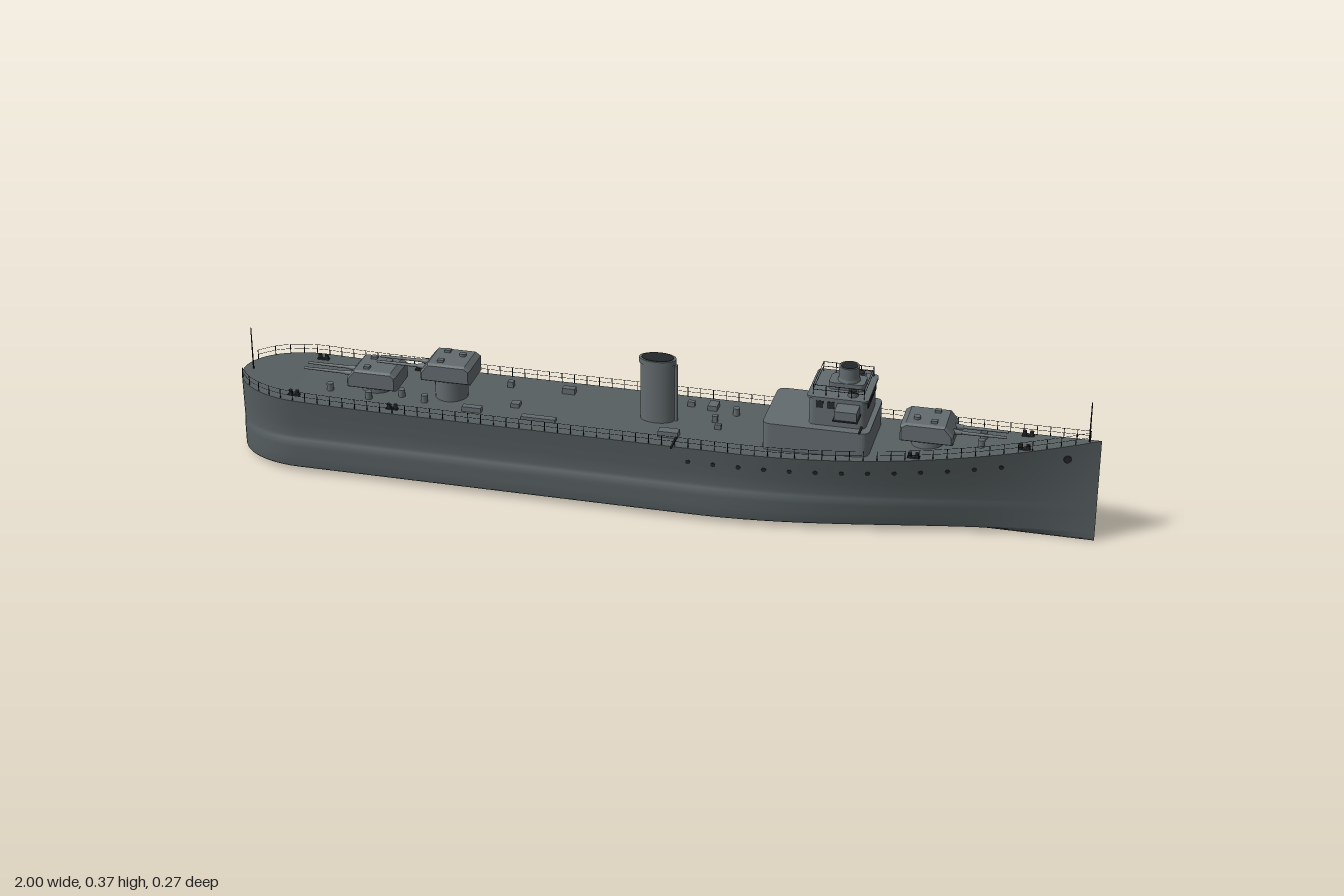
import * as THREE from 'three';

const mat = (name, color, side = THREE.FrontSide) => {
  const m = new THREE.MeshStandardMaterial({ color, side });
  m.name = name;
  return m;
};

export function createModel() {
  const M = {
    hull: mat('hull grey', 0x565e60),
    deck: mat('deck grey', 0x575f61),
    house: mat('superstructure grey', 0x636b6e),
    dark: mat('dark fittings', 0x25282a),
    rail: mat('rail black', 0x17191a),
  };
  const root = new THREE.Group();
  const ship = new THREE.Group();
  ship.name = 'ship';
  ship.position.z = -0.006;
  root.add(ship);

  const add = (name, geo, m, x = 0, y = 0, z = 0, parent = ship) => {
    const mesh = new THREE.Mesh(geo, m);
    mesh.name = name;
    mesh.position.set(x, y, z);
    parent.add(mesh);
    return mesh;
  };
  const box = (name, w, h, d, m, x, y, z, p) => add(name, new THREE.BoxGeometry(w, h, d), m, x, y, z, p);
  const cyl = (name, r, h, m, x, y, z, p, r2 = r, n = 24) =>
    add(name, new THREE.CylinderGeometry(r2, r, h, n), m, x, y, z, p);

  // Hull lines: sheer height and half-width at any station
  const BEAM = 0.128;
  const deckY = (x) => 0.181 + 0.011 * Math.max(0, (-x - 0.6) / 0.4) ** 2 + 0.068 * Math.max(0, (x - 0.2) / 0.8) ** 2;
  const halfWidth = (x, y) => {
    if (x < -0.83) return BEAM * Math.sqrt(Math.max(0, 1 - ((-0.83 - x) / 0.17) ** 2));
    const u = Math.max(0, (x - 0.2) / 0.8), v = Math.max(0, (x - 0.1) / 0.9);
    return BEAM * THREE.MathUtils.lerp(0.5 + 0.5 * Math.cos(Math.PI * v), 1 - u * u, Math.min(1, y / deckY(x)));
  };
  // Section: width fraction, height; heights above the bulge stretch with the sheer
  const section = [[1, 0.181], [0.972, 0.15], [0.948, 0.12], [0.935, 0.092], [0.965, 0.084], [0.993, 0.075],
    [1, 0.066], [1, 0.04], [1, 0.018], [0.97, 0.013], [0.5, 0.006], [0, 0]];
  const sectionPoint = (x, [f, y]) => {
    const yy = y > 0.09 ? 0.09 + (y - 0.09) * (deckY(x) - 0.09) / 0.091 : y;
    return [x, yy, f * halfWidth(x, yy)];
  };
  const sideZ = (x, y) => {
    const k = section.findIndex((s, i) => i > 0 && sectionPoint(x, s)[1] <= y);
    const a = sectionPoint(x, section[k - 1]), b = sectionPoint(x, section[k]);
    return THREE.MathUtils.lerp(b[2], a[2], (y - b[1]) / (a[1] - b[1]));
  };
  const stations = [];
  for (let i = 0; i < 14; i++) stations.push(-1 + 0.17 * (1 - Math.cos((i / 14) * Math.PI / 2)));
  for (let i = 0; i <= 40; i++) stations.push(-0.83 + 1.83 * i / 40);

  const grid = (rows) => {
    const n = rows[0].length, idx = [];
    for (let i = 0; i < rows.length - 1; i++)
      for (let j = 0; j < n - 1; j++) {
        const a = i * n + j, b = a + 1, c = a + n, d = c + 1;
        idx.push(a, b, c, b, d, c);
      }
    const g = new THREE.BufferGeometry();
    g.setAttribute('position', new THREE.Float32BufferAttribute(rows.flat(2), 3));
    g.setIndex(idx);
    g.computeVertexNormals();
    return g;
  };
  add('hull', grid(stations.map((x) => {
    const half = section.map((s) => sectionPoint(x, s));
    return [...half, ...half.slice(0, -1).reverse().map(([a, b, c]) => [a, b, -c])];
  })), M.hull);
  add('deck', grid(stations.map((x) => {
    const w = halfWidth(x, deckY(x));
    return [[x, deckY(x), -w], [x, deckY(x), w]];
  })), M.deck);

  // Upright block with rounded corners in plan
  const block = (name, x0, x1, hz, r, y0, y1, m) => {
    const s = new THREE.Shape();
    s.moveTo(x0 + r, -hz).lineTo(x1 - r, -hz).quadraticCurveTo(x1, -hz, x1, -hz + r)
      .lineTo(x1, hz - r).quadraticCurveTo(x1, hz, x1 - r, hz)
      .lineTo(x0 + r, hz).quadraticCurveTo(x0, hz, x0, hz - r)
      .lineTo(x0, -hz + r).quadraticCurveTo(x0, -hz, x0 + r, -hz);
    const g = new THREE.ExtrudeGeometry(s, { depth: y1 - y0, bevelEnabled: false, curveSegments: 6 });
    g.rotateX(-Math.PI / 2);
    return add(name, g, m, 0, y0, 0);
  };

  // Bridge structure
  block('deckhouse', 0.26, 0.5, 0.092, 0.02, 0.17, 0.247, M.house);
  block('bridge', 0.36, 0.488, 0.07, 0.015, 0.247, 0.313, M.house);
  block('bridgeRoof', 0.355, 0.493, 0.072, 0.015, 0.311, 0.316, M.house);
  block('directorBase', 0.395, 0.475, 0.026, 0.012, 0.316, 0.332, M.house);
  cyl('directorTower', 0.026, 0.012, M.house, 0.437, 0.336, 0, ship, 0.022);
  cyl('director', 0.023, 0.03, M.house, 0.437, 0.351, 0);
  cyl('directorTop', 0.019, 0.002, M.dark, 0.437, 0.366, 0);
  for (let i = -2; i <= 2; i++) box('bridgeWindow', 0.003, 0.017, 0.0165, M.dark, 0.489, 0.298, i * 0.0205);
  for (const s of [1, -1]) {
    box('bridgeWing', 0.05, 0.022, 0.044, M.house, 0.45, 0.294, s * 0.09);
    box('wingFloor', 0.056, 0.003, 0.046, M.dark, 0.45, 0.283, s * 0.092);
    for (const x of [0.385, 0.41]) box('sideWindow', 0.016, 0.017, 0.003, M.dark, x, 0.298, s * 0.0695);
    cyl('searchlight', 0.012, 0.011, M.house, 0.455, 0.322, s * 0.047);
    cyl('searchlightLid', 0.009, 0.003, M.dark, 0.455, 0.328, s * 0.047);
  }
  box('signalBoom', 0.004, 0.004, 0.03, M.dark, 0.48, 0.252, 0.085);

  // Oval funnel with a dark cap band
  const funnel = cyl('funnel', 0.04, 0.15, M.house, 0, 0.252, 0);
  const band = cyl('funnelCap', 0.043, 0.012, M.house, 0, 0.328, 0);
  const mouth = cyl('funnelMouth', 0.037, 0.002, M.dark, 0, 0.3345, 0);
  for (const p of [funnel, band, mouth]) p.scale.z = 0.62;
  cyl('funnelPipe', 0.004, 0.14, M.house, 0.043, 0.25, 0, ship, 0.004, 8);

  // Twin gun turrets, built facing +x
  const turret = (x, y, dir, pedestal) => {
    const g = new THREE.Group();
    g.name = 'gunTurret';
    g.position.set(x, y, 0);
    if (dir < 0) g.rotation.y = Math.PI;
    ship.add(g);
    const s = new THREE.Shape();
    s.moveTo(-0.055, 0).lineTo(0.056, 0).lineTo(0.056, 0.018).lineTo(0.04, 0.037).lineTo(-0.045, 0.037).lineTo(-0.055, 0.03);
    const geo = new THREE.ExtrudeGeometry(s, { depth: 0.084, bevelSize: 0.004, bevelThickness: 0.006, bevelSegments: 1 });
    add('turretHouse', geo, M.house, 0, 0.004, -0.042, g);
    cyl('turretPedestal', 0.038, pedestal, M.house, 0, -pedestal / 2 + 0.002, 0, g);
    for (const k of [1, -1]) {
      const b = cyl('gunBarrel', 0.0042, 0.125, M.house, 0.112, 0.021, k * 0.014, g, 0.003, 10);
      b.rotation.z = -Math.PI / 2;
      const c = cyl('gunCollar', 0.0075, 0.02, M.house, 0.065, 0.021, k * 0.014, g, 0.005, 10);
      c.rotation.z = -Math.PI / 2;
      box('roofSight', 0.014, 0.008, 0.012, M.house, 0.015, 0.047, k * 0.027, g);
    }
    cyl('roofHatch', 0.008, 0.008, M.house, -0.025, 0.047, 0.015, g, 0.008, 12);
  };
  turret(0.62, 0.217, 1, 0.03);
  turret(-0.67, 0.194, -1, 0.02);
  turret(-0.49, 0.232, -1, 0.06);

  // Deck fittings: [x, z, length, height, width]
  for (const [x, z, l, h, w] of [[0.112, -0.08, 0.022, 0.012, 0.03], [0.045, 0.078, 0.046, 0.014, 0.022],
    [0.06, -0.08, 0.016, 0.012, 0.012], [0.145, 0.018, 0.014, 0.012, 0.01], [0.13, -0.015, 0.012, 0.016, 0.012],
    [-0.23, -0.075, 0.03, 0.014, 0.016], [-0.37, -0.075, 0.014, 0.014, 0.014], [-0.42, 0.068, 0.045, 0.012, 0.016],
    [-0.26, 0.075, 0.08, 0.008, 0.016], [-0.33, 0.02, 0.02, 0.01, 0.02]])
    box('deckLocker', l, h, w, M.house, x, deckY(x) + h / 2, z);
  for (const [x, z] of [[-0.67, 0.065], [-0.77, 0.048], [-0.6, 0.035], [-0.54, 0.05], [0.74, -0.02], [0.74, 0.02], [0.17, -0.06]])
    cyl('ventilator', 0.008, 0.018, M.house, x, deckY(x) + 0.009, z, ship, 0.008, 12);
  box('boatBoom', 0.004, 0.004, 0.06, M.dark, 0.065, 0.184, 0.111);

  for (const s of [1, -1]) {
    // Twin bollards
    for (const [x, z] of [[-0.84, 0.098], [-0.6, 0.104], [0.6, 0.082], [0.836, 0.033]]) {
      box('bollardBase', 0.028, 0.003, 0.01, M.dark, x, deckY(x) + 0.002, s * z);
      for (const d of [-0.008, 0.008]) cyl('bollard', 0.0045, 0.012, M.dark, x + d, deckY(x) + 0.007, s * z, ship, 0.0045, 10);
    }
    // Portholes and hawse opening, lying on the hull side
    const onSide = (name, geo, x, y) => {
      const e = 0.005, z = sideZ(x, y);
      const m = add(name, geo, M.dark, x, y, s * z);
      const n = new THREE.Vector3((sideZ(x - e, y) - sideZ(x + e, y)) / (2 * e), (sideZ(x, y - e) - sideZ(x, y + e)) / (2 * e), 1);
      n.z *= s;
      m.quaternion.setFromUnitVectors(new THREE.Vector3(0, 1, 0), n.normalize());
    };
    for (let x = 0.1; x < 0.82; x += 0.0575) onSide('porthole', new THREE.CylinderGeometry(0.0055, 0.0055, 0.003, 12), x, deckY(x) - 0.036);
    onSide('hawseOpening', new THREE.CylinderGeometry(0.009, 0.009, 0.005, 14), 0.93, 0.204);

    // Guard rails following the deck edge
    const railPoint = (x, h) => new THREE.Vector3(x, deckY(x) + h, s * Math.max(0.002, halfWidth(x, deckY(x)) - 0.003));
    const xs = Array.from({ length: 66 }, (_, i) => -0.985 + 1.96 * i / 65);
    for (const h of [0.012, 0.023])
      add('guardWire', new THREE.TubeGeometry(new THREE.CatmullRomCurve3(xs.map((x) => railPoint(x, h))), 130, 0.0005, 4), M.rail);
    for (const x of xs) {
      const p = railPoint(x, 0.0115);
      box('stanchion', 0.0015, 0.023, 0.0015, M.rail, p.x, p.y, p.z);
    }
    // Bridge roof rails
    for (const h of [0.328, 0.339]) box('bridgeRail', 0.115, 0.001, 0.001, M.rail, 0.425, h, s * 0.06);
    for (let i = 0; i < 5; i++) box('bridgeRailPost', 0.0015, 0.024, 0.0015, M.rail, 0.368 + i * 0.0285, 0.328, s * 0.06);
  }
  for (const x of [0.368, 0.482]) for (const h of [0.328, 0.339]) box('bridgeEndRail', 0.001, 0.001, 0.12, M.rail, x, h, 0);

  // Staffs at bow and stern
  cyl('jackStaff', 0.0018, 0.095, M.rail, 0.973, deckY(0.973) + 0.0475, 0, ship, 0.0012, 8);
  cyl('ensignStaff', 0.0018, 0.105, M.rail, -0.978, deckY(-0.978) + 0.0525, 0, ship, 0.0012, 8);
  return root;
}
